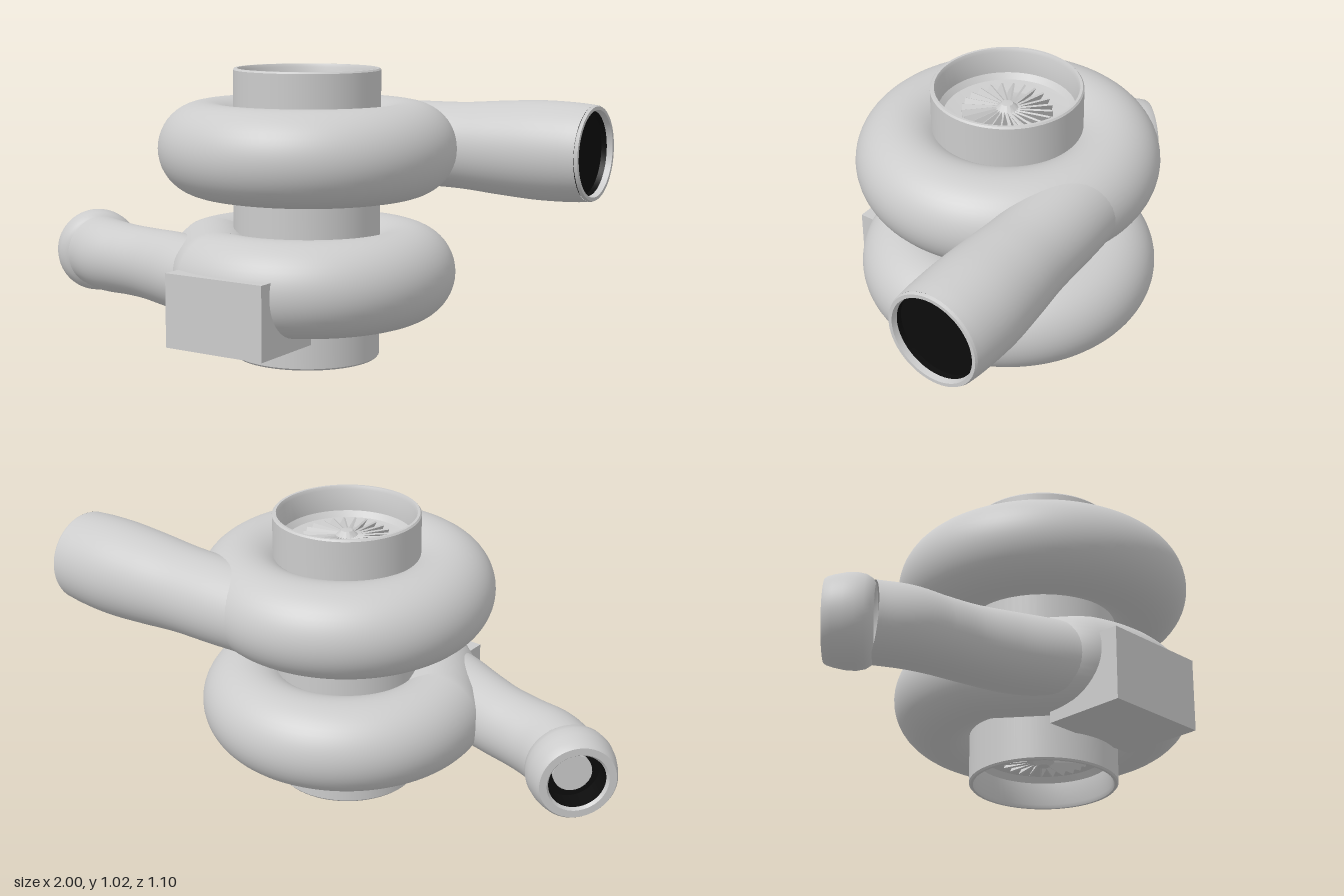
import * as THREE from 'three';
import { toCreasedNormals } from 'three/addons/utils/BufferGeometryUtils.js';

const AX = 0.075, AZ = 0.006; // spindle axis
const grey = new THREE.MeshStandardMaterial({ color: 0xcccccc, side: THREE.DoubleSide });
const dark = new THREE.MeshStandardMaterial({ color: 0x0c0c0c, side: THREE.DoubleSide });

function mesh(name, geometry, material = grey) {
  const m = new THREE.Mesh(geometry, material);
  m.name = name;
  return m;
}

function lathe(name, profile, material) {
  const pts = profile.map(([r, y]) => new THREE.Vector2(r, y));
  return mesh(name, toCreasedNormals(new THREE.LatheGeometry(pts, 64), 0.6), material);
}

// Round pipe of changing radius along a level path of [x, z, r] stations
function pipe(name, y, stations) {
  const path = new THREE.CatmullRomCurve3(stations.map(([x, z, r]) => new THREE.Vector3(x, r, z)));
  const rows = 48, sides = 48, pos = [], index = [];
  for (let i = 0; i <= rows; i++) {
    const p = path.getPoint(i / rows), t = path.getTangent(i / rows).setY(0).normalize();
    for (let j = 0; j < sides; j++) {
      const a = (j / sides) * Math.PI * 2, c = Math.cos(a) * p.y;
      pos.push(p.x + t.z * c, y + Math.sin(a) * p.y, p.z - t.x * c);
      if (i === rows) continue;
      const k = (j + 1) % sides, q = i * sides;
      index.push(q + j, q + k, q + sides + j, q + k, q + sides + k, q + sides + j);
    }
  }
  const g = new THREE.BufferGeometry();
  g.setAttribute('position', new THREE.Float32BufferAttribute(pos, 3));
  g.setIndex(index);
  g.computeVertexNormals();
  return mesh(name, g);
}

// Ring path with one side flattened to a chord where the intake pipe joins
class FlattenedRing extends THREE.Curve {
  getPoint(t, target = new THREE.Vector3()) {
    const a = t * Math.PI * 2, dx = -0.79, dz = 0.61;
    let x = Math.cos(a) * 0.362, z = Math.sin(a) * 0.362;
    const d = x * dx + z * dz, excess = Math.max(0, d - 0.322);
    x -= dx * excess;
    z -= dz * excess;
    return target.set(x, 0, z);
  }
}

// Bladed wheel facing +y
function wheel(name) {
  const g = new THREE.Group();
  g.name = name;
  g.add(lathe('wheelHub', [[0.15, 0], [0.07, 0.01], [0.035, 0.035], [0.02, 0.05], [0, 0.052]]));
  for (let i = 0; i < 24; i++) {
    const arm = new THREE.Group();
    const blade = mesh('blade', new THREE.BoxGeometry(0.13, 0.035, 0.007));
    blade.position.set(0.09, 0.0175, 0);
    blade.rotation.x = 0.5;
    arm.rotation.y = (i / 24) * Math.PI * 2;
    arm.add(blade);
    g.add(arm);
  }
  return g;
}

export function createModel() {
  const model = new THREE.Group();
  model.name = 'turbocharger';

  // Central housing, open at both ends with a recessed floor
  const half = [[0, 0.39], [0.16, 0.39], [0.22, 0.4], [0.236, 0.42], [0.24, 0.5],
    [0.246, 0.512], [0.255, 0.512], [0.26, 0.506]];
  const lower = half.map(([r, y]) => [r, -y]);
  const housing = lathe('centralHousing', [...lower, ...half.slice().reverse()]);
  housing.position.set(AX, 0.515, AZ + 0.002);
  model.add(housing);

  // Wheels at the two openings
  for (const s of [1, -1]) {
    const w = wheel(s > 0 ? 'upperWheel' : 'lowerWheel');
    w.position.set(AX, 0.515 + s * 0.392, AZ + 0.002);
    if (s < 0) w.rotation.x = Math.PI;
    model.add(w);
  }

  // Ring casings
  const upper = mesh('upperCasing', new THREE.TorusGeometry(0.362, 0.164, 48, 96));
  upper.rotation.x = Math.PI / 2;
  upper.position.set(AX, 0.747, AZ);
  model.add(upper);
  const bottom = mesh('lowerCasing', new THREE.TubeGeometry(new FlattenedRing(), 128, 0.165, 48, true));
  bottom.position.set(AX, 0.309, AZ);
  model.add(bottom);

  // Outlet pipe with lip and dark bore
  model.add(pipe('outletPipe', 0.745, [[0.1, -0.355, 0.145], [0.3, -0.362, 0.152], [0.5, -0.368, 0.155],
    [0.65, -0.373, 0.166], [0.8, -0.377, 0.174], [0.93, -0.376, 0.171], [0.99, -0.375, 0.166]]));
  const outlet = new THREE.Group();
  outlet.name = 'outletMouth';
  outlet.add(lathe('outletLip', [[0.166, -0.01], [0.162, 0], [0.15, 0], [0.146, -0.02]]));
  outlet.add(lathe('outletBore', [[0, -0.04], [0.146, -0.04], [0.146, -0.02]], dark));
  outlet.position.set(1, 0.745, -0.375);
  outlet.rotation.z = -Math.PI / 2;
  model.add(outlet);

  // Intake pipe with swollen collar
  model.add(pipe('intakePipe', 0.302, [[0, 0.375, 0.12], [-0.19, 0.305, 0.134], [-0.34, 0.24, 0.135],
    [-0.475, 0.198, 0.13], [-0.59, 0.175, 0.13], [-0.7, 0.15, 0.135], [-0.8, 0.098, 0.135]]));
  const collar = new THREE.Group();
  collar.name = 'intakeCollar';
  collar.add(lathe('collarShell', [[0.12, -0.015], [0.137, -0.005], [0.15, 0.015], [0.156, 0.045], [0.154, 0.08],
    [0.147, 0.115], [0.14, 0.138], [0.134, 0.146], [0.108, 0.146], [0.1, 0.135]]));
  collar.add(lathe('collarBore', [[0, 0.06], [0.1, 0.06], [0.1, 0.135]], dark));
  const disc = mesh('collarDisc', new THREE.CylinderGeometry(0.068, 0.068, 0.04, 24));
  disc.position.y = 0.06;
  collar.add(disc);
  collar.position.set(-0.8, 0.3, 0.105);
  collar.quaternion.setFromUnitVectors(new THREE.Vector3(0, 1, 0), new THREE.Vector3(-0.73, 0, -0.68).normalize());
  model.add(collar);

  // Mounting block at the front
  const block = mesh('mountingBlock', new THREE.BoxGeometry(0.39, 0.256, 0.3));
  block.position.set(0.053, 0.232, 0.4);
  model.add(block);

  return model;
}
